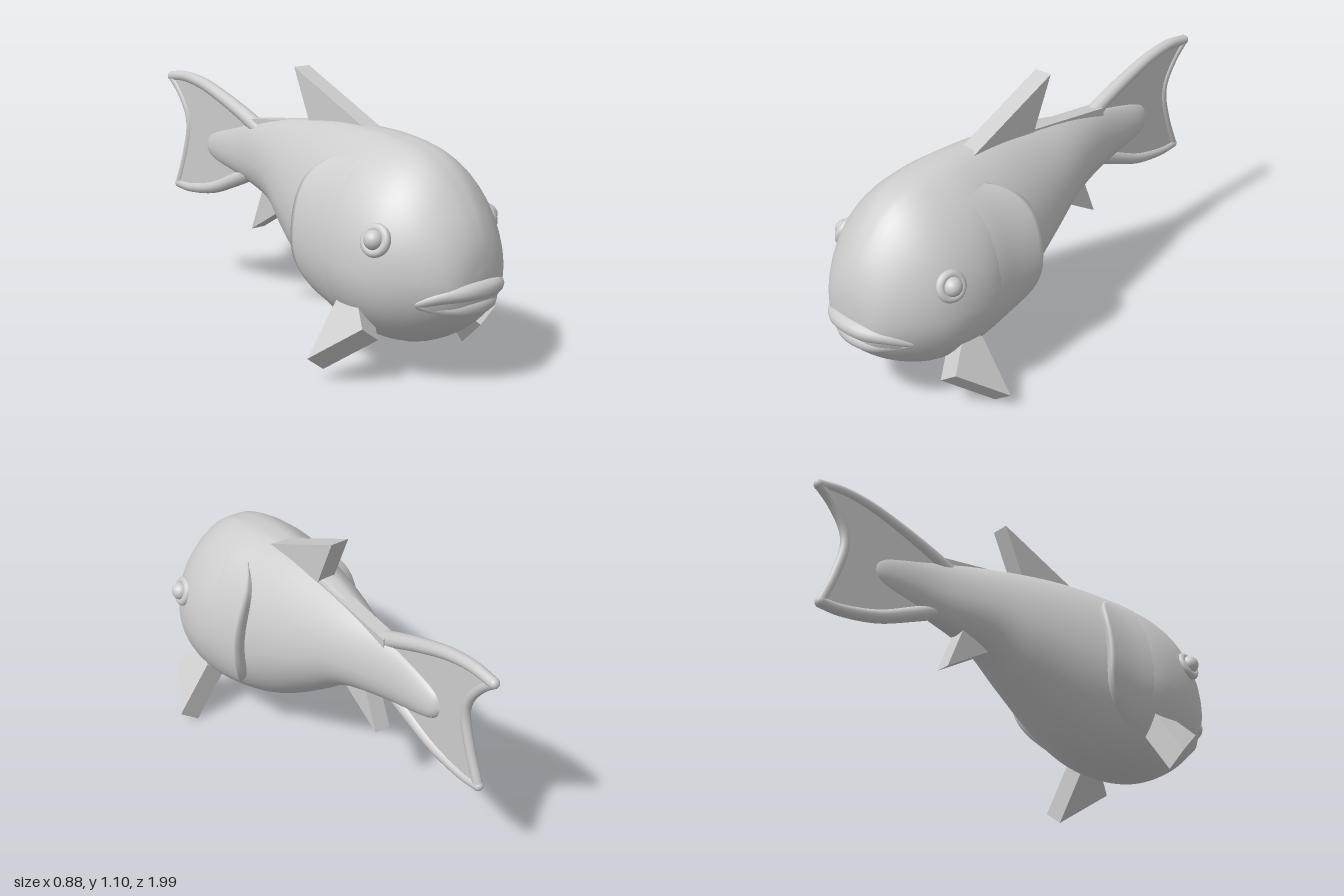
import * as THREE from 'three';
import { mergeVertices } from 'three/addons/utils/BufferGeometryUtils.js';
import { ParametricGeometry } from 'three/addons/geometries/ParametricGeometry.js';

const skin = new THREE.MeshStandardMaterial({ color: 0xcccccc });
skin.name = 'grey skin';

// Body sections from nose to tail root: z, top, bottom, half width, centre x
const sections = [
  [0.968, 0.44, 0.44, 0, 0], [0.953, 0.56, 0.31, 0.11, 0], [0.9, 0.68, 0.24, 0.19, 0],
  [0.8, 0.8, 0.17, 0.27, 0], [0.68, 0.87, 0.125, 0.322, 0], [0.52, 0.9, 0.12, 0.335, 0],
  [0.36, 0.91, 0.145, 0.295, 0], [0.2, 0.91, 0.22, 0.25, 0.005], [0, 0.89, 0.36, 0.19, 0.015],
  [-0.18, 0.865, 0.49, 0.13, 0.028], [-0.42, 0.82, 0.56, 0.06, 0.035],
  [-0.66, 0.76, 0.62, 0.035, 0.035], [-0.72, 0.7, 0.68, 0.005, 0.03],
];
const last = sections.length - 1;
const spline = (pick) => new THREE.CatmullRomCurve3(
  sections.map((s) => new THREE.Vector3(...pick(s))), false, 'catmullrom', 0.5);
const outline = spline((s) => [s[0], s[1], s[2]]);
const breadth = spline((s) => [s[3], s[4], 0]);

// Point on the body at section number k and angle a: narrower above with a flat back, rounder below
function bodyPoint(k, a, target) {
  const o = outline.getPoint(k / last), b = breadth.getPoint(k / last);
  const mid = o.z + (o.y - o.z) * 0.43;
  const c = Math.cos(a), s = Math.sin(a);
  const w = Math.sign(c) * Math.pow(Math.abs(c), s > 0 ? 1.3 : 1);
  const rise = s > 0 ? Math.min(1, s * 1.03) * (o.y - mid) : s * (mid - o.z);
  return target.set(b.y + b.x * w, mid + rise, o.x);
}

function smoothSurface(fn, nu, nv) {
  let g = new ParametricGeometry(fn, nu, nv);
  g.deleteAttribute('normal');
  g.deleteAttribute('uv');
  g = mergeVertices(g, 1e-4);
  g.computeVertexNormals();
  return g;
}

// Flat plate from an outline, laid along the axes ax and ay, centred in thickness
function plate(points, thickness, ax, ay, origin) {
  const shape = new THREE.Shape(points.map((p) => new THREE.Vector2(...p)));
  const g = new THREE.ExtrudeGeometry(shape, { depth: thickness, bevelEnabled: false });
  g.translate(0, 0, -thickness / 2);
  const x = new THREE.Vector3(...ax).normalize(), y = new THREE.Vector3(...ay).normalize();
  const m = new THREE.Matrix4().makeBasis(x, y, x.clone().cross(y));
  return g.applyMatrix4(m.setPosition(...origin));
}

// Tube through points whose radius follows a rule along its length
function taperedTube(points, radius) {
  const curve = new THREE.CatmullRomCurve3(points.map((p) => new THREE.Vector3(...p)));
  const steps = 40, sides = 12;
  const g = new THREE.TubeGeometry(curve, steps, 1, sides);
  const pos = g.attributes.position, p = new THREE.Vector3();
  for (let i = 0; i < pos.count; i++) {
    const t = Math.floor(i / (sides + 1)) / steps;
    const c = curve.getPointAt(t);
    p.fromBufferAttribute(pos, i).sub(c).multiplyScalar(radius(t)).add(c);
    pos.setXYZ(i, p.x, p.y, p.z);
  }
  return g;
}

export function createModel() {
  const fish = new THREE.Group();
  fish.name = 'fish';
  const add = (name, geometry, parent = fish) => {
    const mesh = new THREE.Mesh(geometry, skin);
    mesh.name = name;
    parent.add(mesh);
    return mesh;
  };

  add('body', smoothSurface((u, v, p) => bodyPoint(u * last, v * Math.PI * 2, p), 60, 48));

  // Gill covers: flaps lifting off the body, folding back in at the rear edge
  const lo = -0.72, hi = 0.92, fold = 0.85;
  for (const side of [1, -1]) {
    const flare = side > 0 ? 0.06 : 0.045;
    const g = smoothSurface((u, v, p) => {
      const f = side > 0 ? v : 1 - v;
      const a = lo + (hi - lo) * f;
      const h = f * 2 - 1;
      const edge = 0.245 + 0.14 * Math.pow(h, 4);
      const z = u < fold ? THREE.MathUtils.lerp(0.55, edge, u / fold) : edge + 0.03 * (u - fold) / (1 - fold);
      const lift = u < fold
        ? -0.008 + (flare + 0.008) * Math.pow(u / fold, 1.5)
        : flare - (flare + 0.04) * (u - fold) / (1 - fold);
      bodyPoint(5 + (0.52 - z) / 0.16, side > 0 ? a : Math.PI - a, p);
      p.x += side * lift * (lift > 0 ? 1 - Math.pow(h, 4) : 1);
    }, 20, 24);
    add(side > 0 ? 'leftGillCover' : 'rightGillCover', g);
  }

  // Eyes: a ball set in a raised ring
  for (const side of [1, -1]) {
    const eye = new THREE.Group();
    eye.name = side > 0 ? 'leftEye' : 'rightEye';
    eye.position.set(side * 0.295, 0.575, 0.71);
    eye.lookAt(side * 1.25, 0.9, 0.9);
    add('eyeRing', new THREE.TorusGeometry(0.046, 0.018, 12, 32), eye);
    add('eyeBall', new THREE.SphereGeometry(0.038, 20, 14), eye).position.z = 0.012;
    fish.add(eye);
  }

  // Lips: two bowed tubes thinning into the mouth corners
  const lip = (y, z, drop) => {
    const half = [[0.215, 0.345, 0.83], [0.155, y - drop * 0.5, z - 0.065], [0.08, y - drop * 0.1, z - 0.014]];
    const mirrored = half.map(([x, py, pz]) => [-x, py, pz]);
    return taperedTube([...mirrored, [0, y, z], ...half.reverse()],
      (t) => 0.012 + 0.024 * Math.sqrt(Math.sin(Math.PI * t)));
  };
  add('upperLip', lip(0.39, 0.962, 0.03));
  add('lowerLip', lip(0.32, 0.932, -0.02));

  // Middle fins, drawn as (z, y) outlines
  const Z = [0, 0, 1], Y = [0, 1, 0];
  add('dorsalFin', plate([[0.36, 0.9], [-0.07, 1.1], [0.03, 0.87], [0.2, 0.85]], 0.08, Z, Y, [0.026, 0, 0]));
  add('backRidge', plate([[0.02, 0.89], [-0.4, 0.84], [-0.4, 0.78], [0.02, 0.83]], 0.06, Z, Y, [0.034, 0, 0]));
  add('analFin', plate([[-0.13, 0.5], [-0.36, 0.365], [-0.28, 0.56], [-0.18, 0.6]], 0.07, Z, Y, [0.025, 0, 0]));

  // Forked tail: a thin web framed by rounded rims that thicken towards the root
  const X = 0.026;
  const upper = [[-0.34, 0.8], [-0.45, 0.85], [-0.6, 0.908], [-0.74, 0.952], [-0.87, 0.97], [-0.975, 0.962]];
  const rear = [[-0.975, 0.962], [-0.91, 0.9], [-0.852, 0.81], [-0.842, 0.74], [-0.88, 0.6], [-0.935, 0.468]];
  const lower = [[-0.935, 0.468], [-0.85, 0.464], [-0.68, 0.49], [-0.52, 0.55], [-0.38, 0.61]];
  add('tailWeb', plate([...upper, ...rear.slice(1), ...lower.slice(1)], 0.026, Z, Y, [X, 0, 0]));
  const rim = (name, pts, radius) => add(name, taperedTube(pts.map(([z, y]) => [X, y, z]), radius));
  rim('upperTailRim', upper, (t) => 0.034 - 0.012 * t);
  rim('rearTailRim', rear, () => 0.02);
  rim('lowerTailRim', lower, (t) => 0.022 + 0.012 * t);
  for (const [z, y] of [rear[0], rear[rear.length - 1]]) {
    add('tailTip', new THREE.SphereGeometry(0.022, 12, 8)).position.set(X, y, z);
  }

  // Pectoral fins, splayed down and outwards; the right one sits a little higher and further back
  const paddle = [[-0.06, 0.61], [0.08, 0.74], [0.254, 0.55], [0, 0.55]];
  add('leftPectoralFin', plate(paddle, 0.105, [0.59, -0.81, 0], Z, [0.248, 0.239, 0]));
  add('rightPectoralFin', plate(paddle, 0.1, [-0.59, -0.81, 0], Z, [-0.25, 0.276, -0.05]));

  return fish;
}
